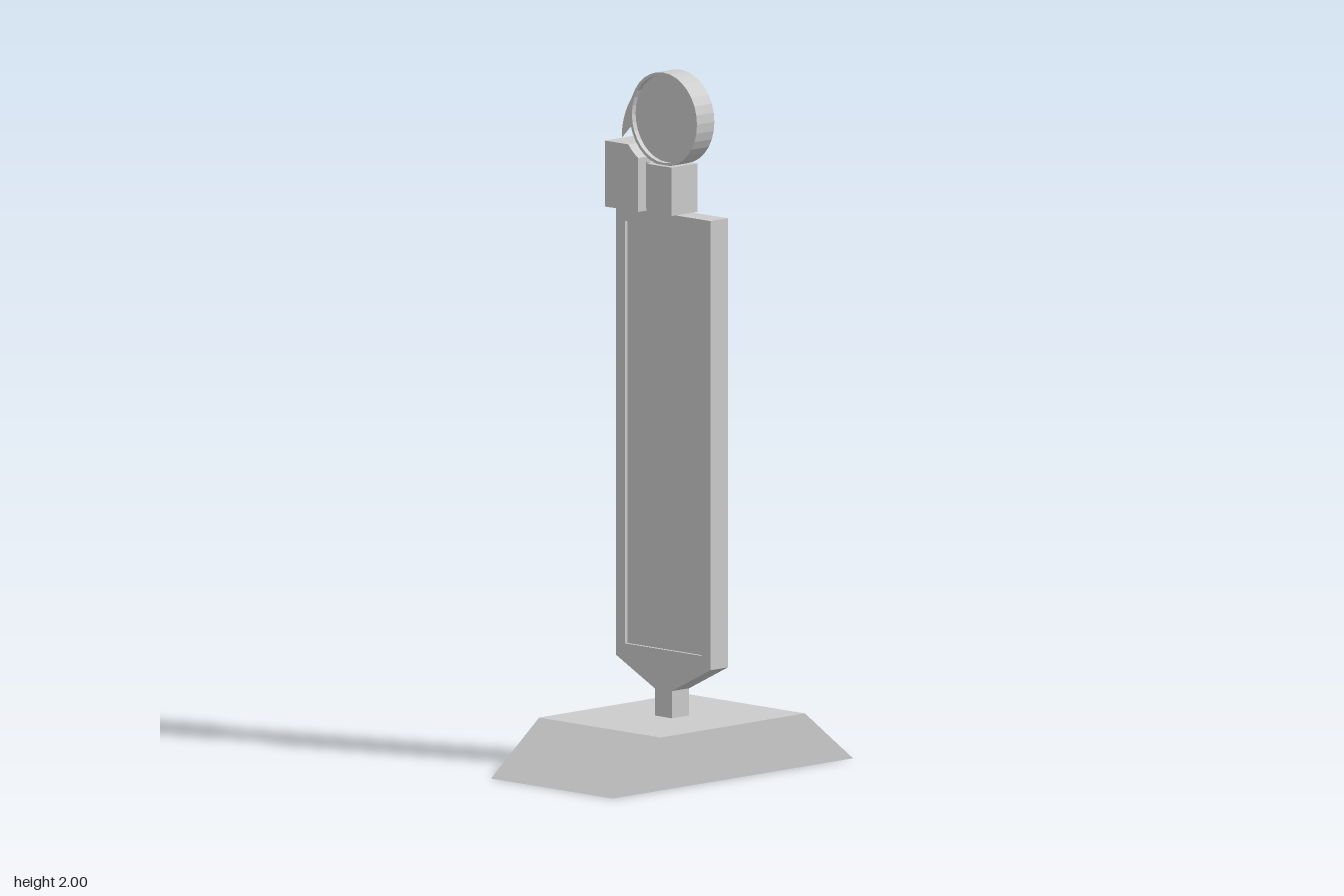
import * as THREE from 'three';

const LAMP_Y = 1.866, LAMP_R = 0.134;

export function createModel() {
  const model = new THREE.Group();
  const grey = new THREE.MeshStandardMaterial({ color: 0xcccccc, flatShading: true });
  const thin = new THREE.MeshStandardMaterial({ color: 0xcccccc, flatShading: true, side: THREE.DoubleSide });

  const add = (name, geometry, material = grey) => {
    const mesh = new THREE.Mesh(geometry, material);
    mesh.name = name;
    model.add(mesh);
    return mesh;
  };
  const box = (name, x0, x1, y0, y1, depth) => {
    const mesh = add(name, new THREE.BoxGeometry(x1 - x0, y1 - y0, depth));
    mesh.position.set((x0 + x1) / 2, (y0 + y1) / 2, 0);
    return mesh;
  };
  const polygon = (points) => new THREE.Shape(points.map(([x, y]) => new THREE.Vector2(x, y)));
  // Extrusion centred on its depth
  const slab = (shape, depth) =>
    new THREE.ExtrudeGeometry(shape, { depth, bevelEnabled: false, curveSegments: 8 }).translate(0, 0, -depth / 2);

  // Weighted foot with sloping front and back
  const foot = polygon([[-0.483, 0], [0.483, 0], [0.29, 0.152], [-0.29, 0.152]]);
  add('foot', slab(foot, 0.484).rotateY(Math.PI / 2));

  // Panel frame with funnel-shaped lower end and stem
  const frame = polygon([
    [-0.034, 0.152], [0.034, 0.152], [0.034, 0.23], [0.188, 0.308],
    [0.188, 1.596], [-0.188, 1.596], [-0.188, 0.308], [-0.034, 0.23],
  ]);
  frame.holes.push(polygon([[-0.152, 0.345], [-0.152, 1.557], [0.152, 1.557], [0.152, 0.345]]));
  add('panelFrame', slab(frame, 0.07));

  // Sunken face on both sides of the panel
  box('panelFace', -0.152, 0.152, 0.345, 1.557, 0.05);

  // Lamp neck and the link to the battery housing
  box('lampNeck', -0.05, 0.05, 1.596, 1.735, 0.104);
  box('neckLink', -0.068, -0.05, 1.604, 1.735, 0.07);

  // Side housing, scooped out to follow the lamp
  const housing = polygon([[-0.068, 1.596], [-0.068, 1.75]]);
  const a0 = Math.atan2(1.75 - LAMP_Y, -0.068), a1 = Math.atan2(1.785 - LAMP_Y, -0.107);
  housing.absarc(0, LAMP_Y, LAMP_R, a0, a1, true);
  housing.lineTo(-0.2, 1.785);
  housing.lineTo(-0.2, 1.596);
  add('sideHousing', slab(housing, 0.134));

  // Thin curved bracket plate between housing and lamp
  const bracket = new THREE.Shape();
  bracket.moveTo(0, 1.785);
  bracket.absarc(0, 1.785, 0.2, Math.PI / 2, Math.PI, false);
  add('bracketPlate', new THREE.ShapeGeometry(bracket, 16), thin);

  // Lamp ring: closed profile turned about the z axis
  const ringProfile = [[0.125, -0.035], [LAMP_R, -0.035], [LAMP_R, 0.035], [0.125, 0.035], [0.125, -0.035]]
    .map(([r, z]) => new THREE.Vector2(r, z));
  add('lampRing', new THREE.LatheGeometry(ringProfile, 32).rotateX(Math.PI / 2)).position.y = LAMP_Y;

  // Sunken front disc
  add('lampDisc', new THREE.CircleGeometry(0.126, 32), thin).position.set(0, LAMP_Y, 0.02);

  // Domed lens on the back
  const R = 0.168, cap = Math.asin(0.126 / R);
  const lens = new THREE.SphereGeometry(R, 32, 6, 0, Math.PI * 2, 0, cap).rotateX(-Math.PI / 2);
  add('lampLens', lens, thin).position.set(0, LAMP_Y, R - 0.068);

  return model;
}
